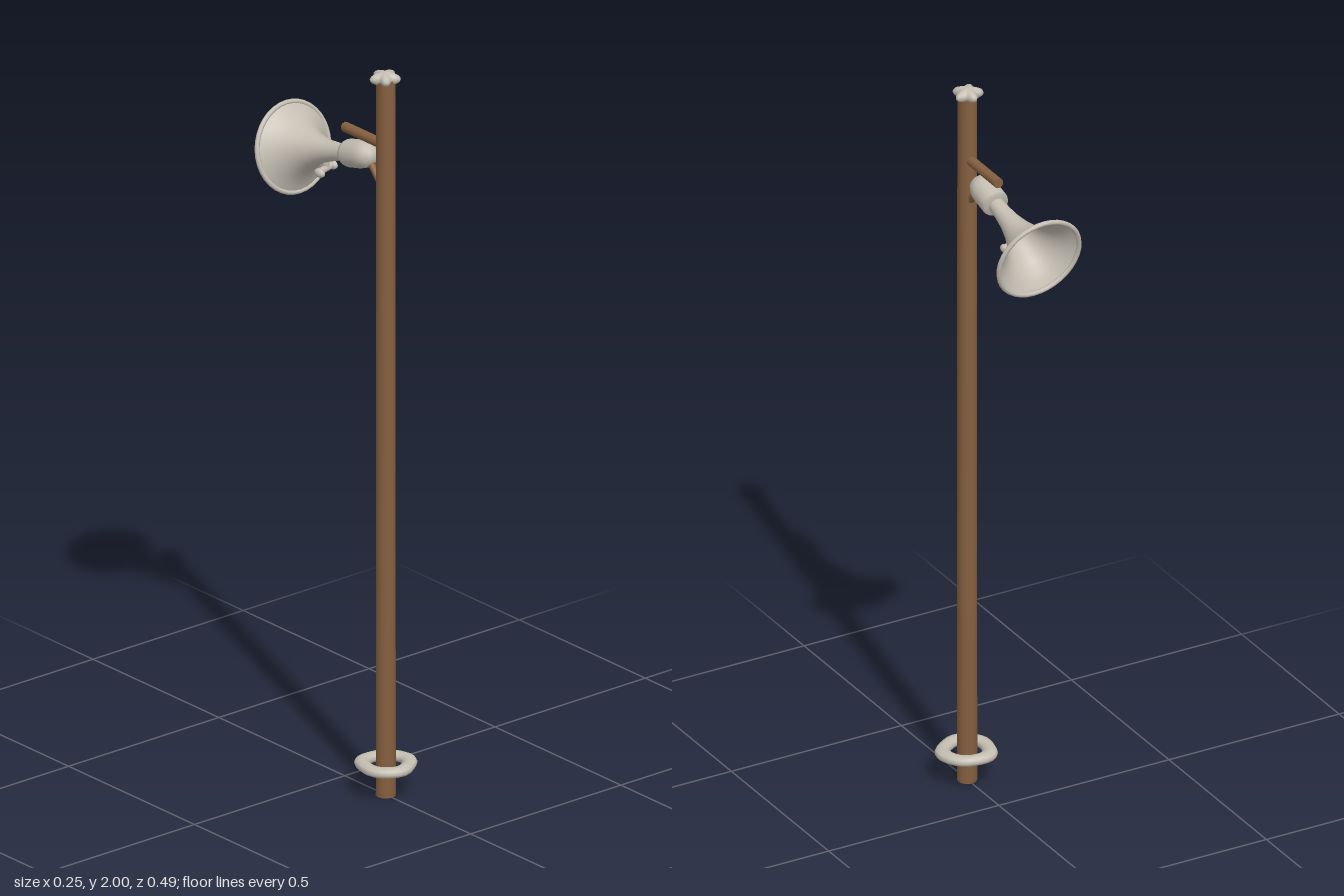
import * as THREE from 'three';
import { mergeVertices } from 'three/addons/utils/BufferGeometryUtils.js';

const wood = new THREE.MeshStandardMaterial({ color: 0x86603f });
wood.name = 'brownWood';
const metal = new THREE.MeshStandardMaterial({ color: 0xc4beb2, side: THREE.DoubleSide });
metal.name = 'paleGrey';

// Share vertices across edges so shading flows over the whole part
function soften(geometry) {
  geometry.deleteAttribute('uv');
  geometry.deleteAttribute('normal');
  const g = mergeVertices(geometry, 1e-5);
  g.computeVertexNormals();
  return g;
}

function reshape(geometry, rule) {
  const p = geometry.attributes.position;
  const v = new THREE.Vector3();
  for (let i = 0; i < p.count; i++) {
    v.fromBufferAttribute(p, i);
    rule(v);
    p.setXYZ(i, v.x, v.y, v.z);
  }
  return soften(geometry);
}

function add(parent, name, geometry, material, x = 0, y = 0, z = 0) {
  const mesh = new THREE.Mesh(geometry, material);
  mesh.name = name;
  mesh.position.set(x, y, z);
  parent.add(mesh);
  return mesh;
}

// Straight rod between two points
function rod(parent, name, a, b, radius, material) {
  const from = new THREE.Vector3(...a), to = new THREE.Vector3(...b);
  const dir = to.clone().sub(from);
  const mesh = add(parent, name, new THREE.CylinderGeometry(radius, radius, dir.length(), 10), material);
  mesh.position.copy(from).add(to).multiplyScalar(0.5);
  mesh.quaternion.setFromUnitVectors(new THREE.Vector3(0, 1, 0), dir.normalize());
  return mesh;
}

function lathe(points, segments) {
  return new THREE.LatheGeometry(points.map(([r, y]) => new THREE.Vector2(r, y)), segments);
}

export function createModel() {
  const model = new THREE.Group();
  model.name = 'loudspeakerPole';
  const poleZ = 0.163;

  // Pole with its support arm and brace
  add(model, 'pole', soften(new THREE.CylinderGeometry(0.025, 0.026, 1.98, 12)), wood, 0, 0.99, poleZ);
  rod(model, 'supportArm', [0, 1.796, poleZ], [0, 1.796, 0], 0.0135, wood);
  rod(model, 'brace', [0, 1.675, 0.152], [0, 1.745, 0.09], 0.01, wood);

  // Lumpy cap on the pole top
  const cap = reshape(new THREE.SphereGeometry(1, 30, 12), (v) => {
    const a = Math.atan2(v.z, v.x);
    const r = 0.034 + 0.008 * Math.cos(5 * (a + Math.PI / 2));
    v.set(v.x * r, v.y * 0.018, v.z * r);
  });
  add(model, 'poleCap', cap, metal, 0, 1.982, 0.16);

  // Uneven flattened ring around the pole foot
  const ring = reshape(new THREE.TorusGeometry(0.06, 0.02, 10, 28).rotateX(Math.PI / 2), (v) => {
    const a = Math.atan2(v.z, v.x);
    const r = 1 + 0.035 * Math.cos(3 * a) + 0.02 * Math.sin(5 * a);
    v.set(v.x * r, v.y * 0.7, v.z * r);
  });
  add(model, 'baseRing', ring, metal, 0.002, 0.085, poleZ);

  // Horn group: local +y is the sounding axis, tilted downward to the back
  const horn = new THREE.Group();
  horn.name = 'horn';
  horn.position.set(0, 1.674, -0.206);
  const axis = new THREE.Vector3(0, -0.24, -0.97).normalize();
  horn.quaternion.setFromUnitVectors(new THREE.Vector3(0, 1, 0), axis);
  model.add(horn);

  const flare = lathe([
    [0.021, -0.23], [0.023, -0.19], [0.028, -0.15], [0.036, -0.115], [0.047, -0.083],
    [0.063, -0.053], [0.083, -0.028], [0.102, -0.012], [0.118, 0],
  ], 32);
  add(horn, 'bell', flare, metal);
  add(horn, 'bellRim', new THREE.TorusGeometry(0.117, 0.0065, 8, 36).rotateX(Math.PI / 2), metal);

  // Rounded driver housing behind the throat
  const driver = lathe([
    [0.0001, -0.33], [0.014, -0.329], [0.027, -0.318], [0.034, -0.303], [0.037, -0.283],
    [0.037, -0.235], [0.034, -0.225], [0.0001, -0.224],
  ], 16);
  add(horn, 'driver', driver, metal);

  // Adjusting bar with knobs under the throat
  rod(model, 'knobBar', [-0.033, 1.657, -0.065], [0.036, 1.657, -0.085], 0.009, metal);
  rod(model, 'knobStem', [0, 1.657, -0.075], [0, 1.69, -0.075], 0.009, metal);
  for (const [x, z] of [[-0.03, -0.064], [0.031, -0.086]]) {
    const knob = add(model, 'knob', new THREE.SphereGeometry(0.012, 12, 8), metal, x, 1.655, z);
    knob.scale.set(0.9, 1, 1.5);
  }
  return model;
}
